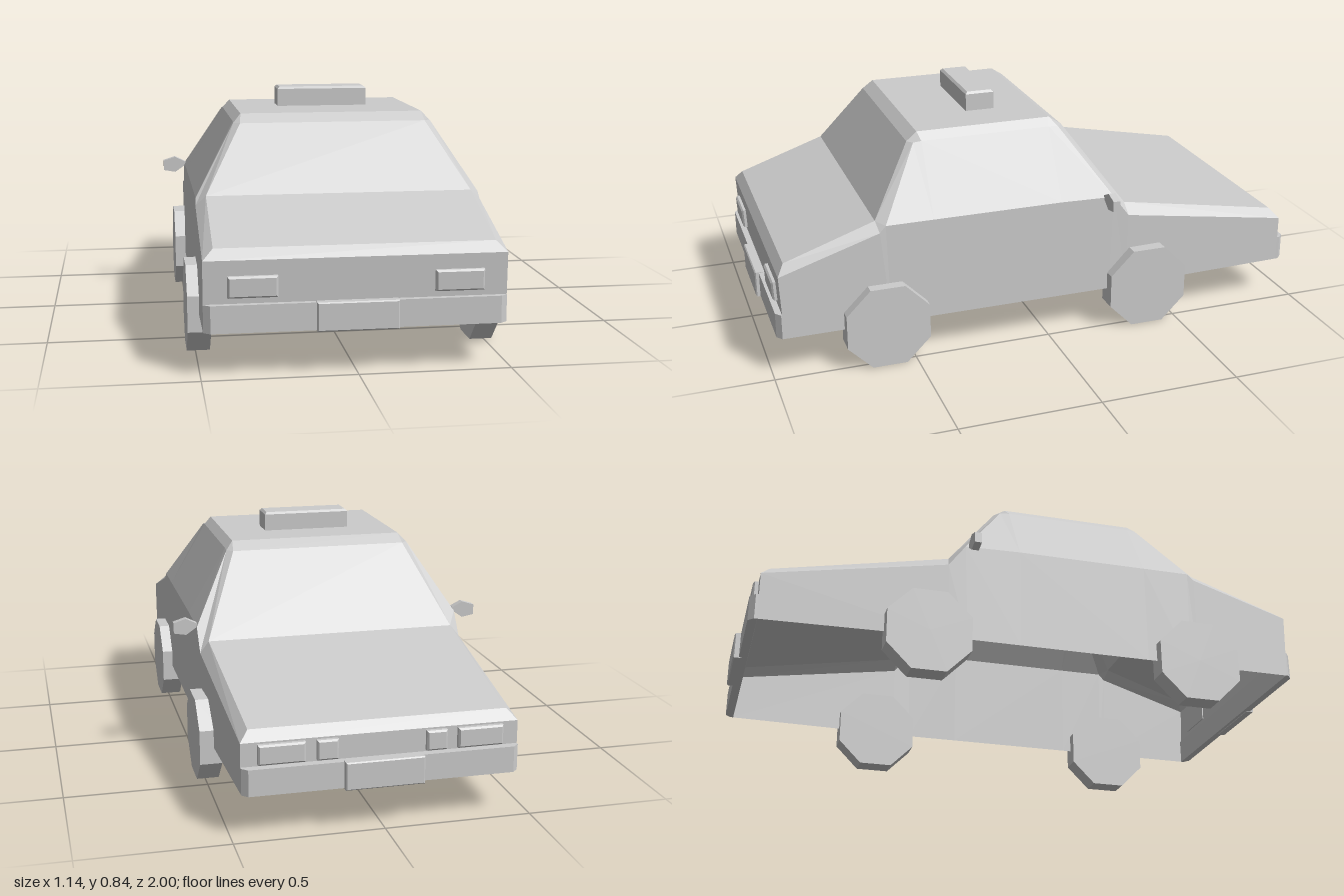
import * as THREE from 'three';

const material = new THREE.MeshStandardMaterial({ color: 0xcccccc, flatShading: true, side: THREE.DoubleSide });

function add(parent, name, geometry, x = 0, y = 0, z = 0) {
  const mesh = new THREE.Mesh(geometry, material);
  mesh.name = name;
  mesh.position.set(x, y, z);
  parent.add(mesh);
  return mesh;
}

// Box whose +z face is drawn in by a small bevel
function bevelledBox(w, h, d, bevel) {
  const g = new THREE.BoxGeometry(w, h, d, 1, 1, 2);
  const p = g.attributes.position;
  for (let i = 0; i < p.count; i++) {
    if (p.getZ(i) > d / 4) {
      p.setX(i, p.getX(i) - Math.sign(p.getX(i)) * bevel);
      p.setY(i, p.getY(i) - Math.sign(p.getY(i)) * bevel);
    } else if (p.getZ(i) > -d / 4) p.setZ(i, d / 2 - bevel);
  }
  g.computeVertexNormals();
  return g;
}

// Shell lofted from rear to bonnet; open underneath
function bodyGeometry() {
  // Each section: sill, shoulder, side top, roof edge
  const half = [
    [[0.49, 0.145, 0.955], [0.49, 0.375, 0.965], [0.455, 0.41, 0.94], [0.455, 0.41, 0.94]],
    [[0.49, 0.145, 0.61], [0.49, 0.487, 0.612], [0.455, 0.52, 0.62], [0.455, 0.52, 0.62]],
    [[0.49, 0.145, 0.58], [0.488, 0.51, 0.59], [0.347, 0.745, 0.45], [0.325, 0.745, 0.468]],
    [[0.49, 0.145, 0.42], [0.488, 0.51, 0.42], [0.347, 0.748, 0.42], [0.32, 0.775, 0.43]],
    [[0.49, 0.145, -0.05], [0.488, 0.51, -0.05], [0.347, 0.748, -0.05], [0.32, 0.775, -0.06]],
    [[0.49, 0.145, -0.24], [0.488, 0.505, -0.25], [0.347, 0.745, -0.085], [0.325, 0.745, -0.105]],
    [[0.487, 0.145, -0.31], [0.487, 0.425, -0.31], [0.455, 0.465, -0.305], [0.455, 0.465, -0.305]],
    [[0.465, 0.145, -0.95], [0.465, 0.315, -0.95], [0.435, 0.35, -0.92], [0.435, 0.35, -0.92]],
  ];
  const rows = half.map((r) => [...r, ...r.map(([x, y, z]) => [-x, y, z]).reverse()]);
  const out = [];
  const tri = (a, b, c) => {
    const same = (p, q) => p.every((v, i) => v === q[i]);
    if (!same(a, b) && !same(b, c) && !same(a, c)) out.push(...a, ...b, ...c);
  };
  const quad = (a, b, c, d) => { tri(a, b, d); tri(d, b, c); };
  for (let i = 0; i < rows.length - 1; i++) {
    for (let j = 0; j < 7; j++) quad(rows[i][j], rows[i + 1][j], rows[i + 1][j + 1], rows[i][j + 1]);
  }
  // Tail and nose panels
  const tail = rows[0], nose = rows[rows.length - 1];
  for (let j = 0; j < 2; j++) {
    quad(tail[j], tail[j + 1], tail[6 - j], tail[7 - j]);
    quad(nose[7 - j], nose[6 - j], nose[j + 1], nose[j]);
  }
  const g = new THREE.BufferGeometry();
  g.setAttribute('position', new THREE.Float32BufferAttribute(out, 3));
  g.computeVertexNormals();
  return g;
}

// Bumper bar with angled ends, narrower on its outer face
function bumperGeometry(inner, outer, depth) {
  const s = new THREE.Shape([
    new THREE.Vector2(-inner, 0), new THREE.Vector2(inner, 0),
    new THREE.Vector2(inner, depth * 0.35), new THREE.Vector2(outer, depth),
    new THREE.Vector2(-outer, depth), new THREE.Vector2(-inner, depth * 0.35),
  ]);
  const g = new THREE.ExtrudeGeometry(s, { depth: 0.09, bevelEnabled: false });
  g.rotateX(Math.PI / 2); // shape depth becomes +z, extrusion goes down
  return g;
}

export function createModel() {
  const car = new THREE.Group();
  car.name = 'car';
  add(car, 'bodyShell', bodyGeometry());

  // Roof sign, bevelled on top
  const sign = add(car, 'roofSign', bevelledBox(0.326, 0.105, 0.075, 0.008), 0, 0.8075, 0.148);
  sign.rotation.x = -Math.PI / 2;

  // Rear bumper, plate and lamps
  add(car, 'rearBumper', bumperGeometry(0.49, 0.468, 0.027), 0, 0.235, 0.953);
  add(car, 'rearPlate', bevelledBox(0.265, 0.095, 0.03, 0.004), 0, 0.19, 0.98);

  // Nose bumper, plate and lamps
  const noseBumper = add(car, 'noseBumper', bumperGeometry(0.465, 0.445, 0.03), 0, 0.235, -0.949);
  noseBumper.rotation.y = Math.PI;
  const nosePlate = add(car, 'nosePlate', bevelledBox(0.265, 0.095, 0.03, 0.004), 0, 0.19, -0.985);
  nosePlate.rotation.y = Math.PI;

  const mirrorShape = new THREE.Shape([
    [0, 0], [0.04, -0.028], [0.085, -0.02], [0.085, 0.018], [0.04, 0.032], [0, 0.012],
  ].map(([x, y]) => new THREE.Vector2(x, y)));

  for (const side of [1, -1]) {
    const label = side > 0 ? 'left' : 'right';
    const tailLamp = add(car, label + 'TailLamp', bevelledBox(0.16, 0.07, 0.02, 0.006), side * 0.333, 0.29, 0.967);
    tailLamp.rotation.x = 0.04;
    for (const [name, x, w] of [['Headlamp', 0.333, 0.155], ['InnerLamp', 0.183, 0.07]]) {
      const lamp = add(car, label + name, bevelledBox(w, 0.068, 0.024, 0.006), side * x, 0.275, -0.957);
      lamp.rotation.y = Math.PI;
    }

    // Eight-sided wheels standing on a flat
    for (const [name, z] of [['RearWheel', 0.6], ['NoseWheel', -0.38]]) {
      const g = new THREE.CylinderGeometry(0.16, 0.16, 0.078, 8);
      g.rotateY(Math.PI / 8);
      g.rotateZ(Math.PI / 2);
      add(car, label + name, g, side * 0.49, 0.148, z);
    }

    // Door mirror, mirrored by turning its geometry
    const m = new THREE.ExtrudeGeometry(mirrorShape, { depth: 0.026, bevelEnabled: false });
    const mirror = add(car, label + 'DoorMirror', m, side * 0.485, 0.503, -0.238);
    mirror.scale.x = side;
  }
  return car;
}
